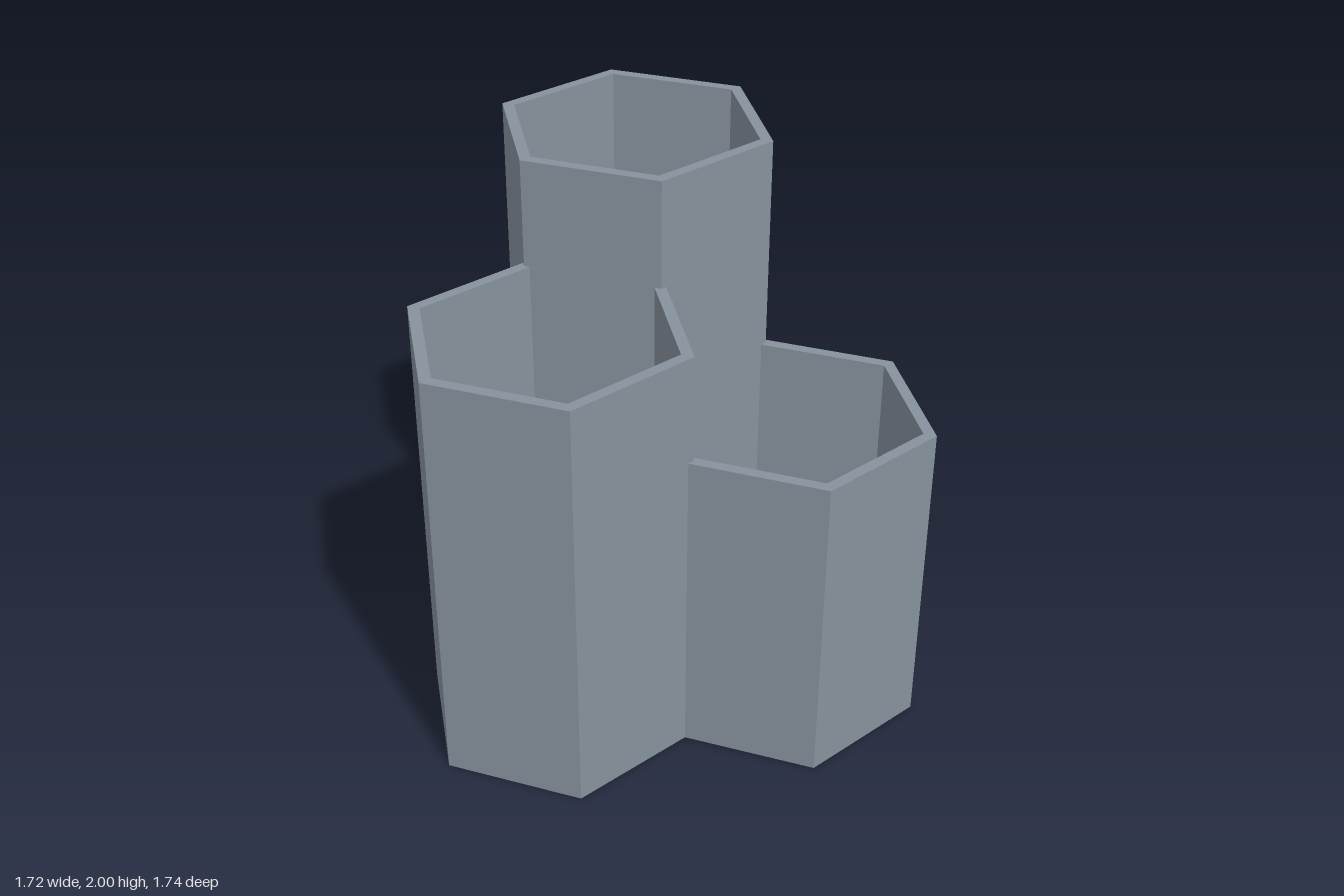
import * as THREE from 'three';

const OUTER = 0.44 / Math.cos(Math.PI / 6); // corner radius of outer wall
const INNER = 0.40 / Math.cos(Math.PI / 6); // corner radius of inner wall
const FLOOR = 0.04;

// Hollow six-sided cup with a floor and an optional chamfered foot
function hexCup(height, chamfer) {
  const profile = [[0, 0], [OUTER - chamfer, 0]];
  if (chamfer > 0) profile.push([OUTER, chamfer]);
  profile.push([OUTER, height], [INNER, height], [INNER, FLOOR], [0, FLOOR]);
  return new THREE.LatheGeometry(profile.map(([r, y]) => new THREE.Vector2(r, y)), 6);
}

export function createModel() {
  const model = new THREE.Group();
  model.name = 'hexagonalPenHolder';
  const greyBlue = new THREE.MeshStandardMaterial({ color: 0x87929d, flatShading: true });
  greyBlue.name = 'greyBlue';

  // Three cups of stepped height, neighbours sharing a wall
  const cups = [
    { name: 'tallBackCup', x: 0, z: -0.365, height: 2, chamfer: 0.013 },
    { name: 'mediumRightCup', x: -0.422, z: 0.362, height: 1.6, chamfer: 0 },
    { name: 'shortLeftCup', x: 0.42, z: 0.362, height: 1.2, chamfer: 0 },
  ];
  for (const { name, x, z, height, chamfer } of cups) {
    const cup = new THREE.Mesh(hexCup(height, chamfer), greyBlue);
    cup.name = name;
    cup.position.set(x, 0, z);
    model.add(cup);
  }
  return model;
}
